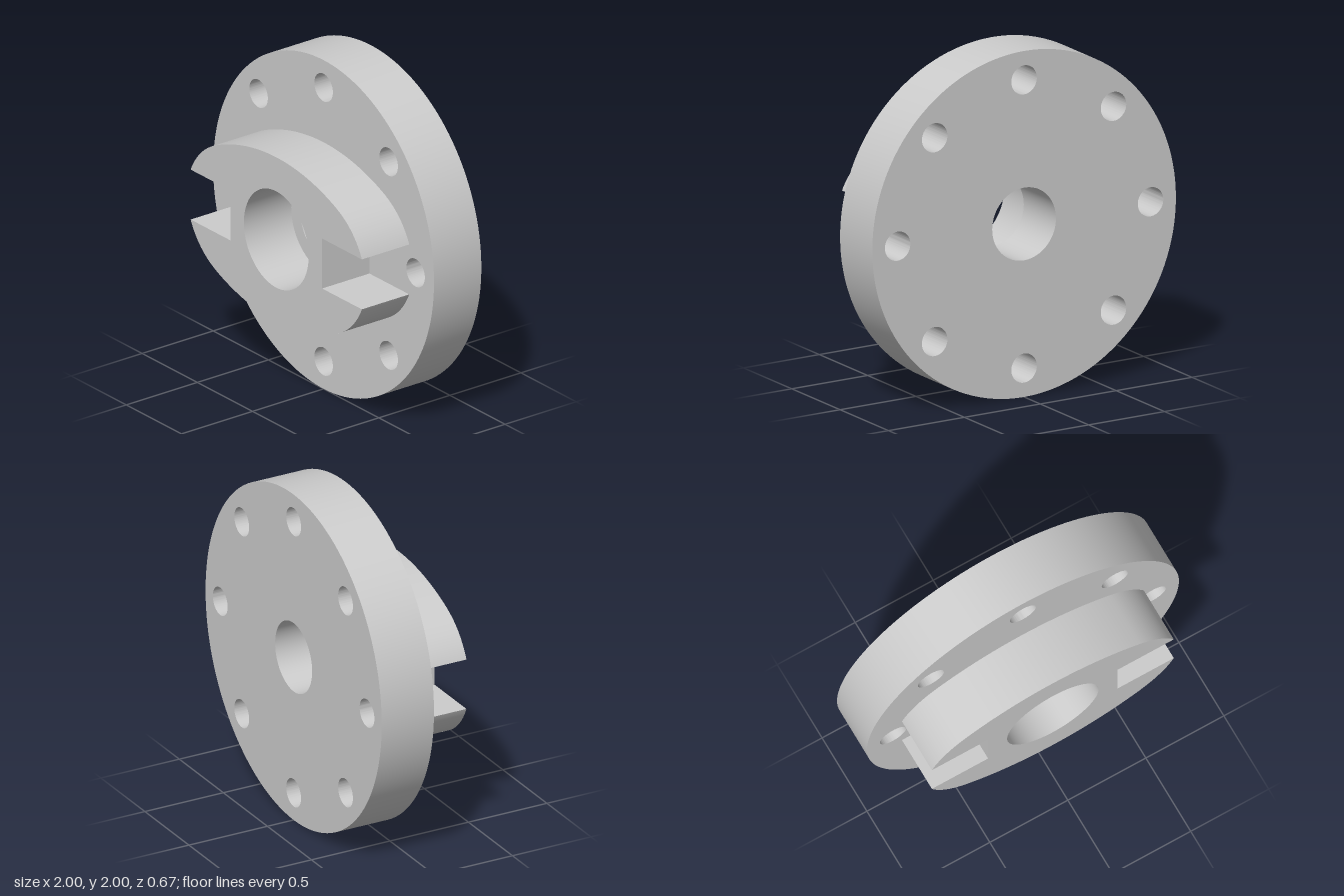
import * as THREE from 'three';
import { toCreasedNormals } from 'three/addons/utils/BufferGeometryUtils.js';

const THICKNESS = 0.333;
const rad = THREE.MathUtils.degToRad;

function circleHole(x, y, r) {
  return new THREE.Path().absarc(x, y, r, 0, Math.PI * 2, true);
}

function extruded(name, shape, z) {
  const raw = new THREE.ExtrudeGeometry(shape, { depth: THICKNESS, bevelEnabled: false, curveSegments: 64 });
  const material = new THREE.MeshStandardMaterial({ color: 0xcccccc });
  const mesh = new THREE.Mesh(toCreasedNormals(raw, rad(15)), material);
  mesh.name = name;
  mesh.position.z = z;
  return mesh;
}

// Round plate with a centre bore and a ring of eight bolt holes
function flangeShape() {
  const shape = new THREE.Shape().absarc(0, 0, 1, 0, Math.PI * 2, false);
  shape.holes.push(circleHole(0, 0, 0.21));
  for (let i = 0; i < 8; i++) {
    const a = (i * Math.PI) / 4;
    shape.holes.push(circleHole(0.833 * Math.cos(a), 0.833 * Math.sin(a), 0.084));
  }
  return shape;
}

// Oval boss: a shallow arc blending into tighter end arcs, slotted at both ends
function bossShape() {
  const shape = new THREE.Shape();
  shape.moveTo(0.415, 0.152);
  for (const s of [1, -1]) {
    const turn = s > 0 ? 0 : 180;
    const arc = (x, y, r, from, to) =>
      shape.absarc(s * x, s * y, r, rad(from + turn), rad(to + turn), false);
    arc(0.367, -0.03, 0.447, 24, 64.6);
    arc(0, -0.807, 1.307, 64.6, 115.4);
    arc(-0.367, -0.03, 0.447, 115.4, 156);
    shape.lineTo(-s * 0.415, s * 0.152);
    shape.lineTo(-s * 0.415, -s * 0.152);
  }
  shape.holes.push(circleHole(0, 0, 0.293));
  return shape;
}

export function createModel() {
  const model = new THREE.Group();
  model.name = 'slottedFlange';
  model.add(extruded('flangePlate', flangeShape(), -THICKNESS));
  model.add(extruded('slottedBoss', bossShape(), 0));
  model.position.y = 1;
  return model;
}
